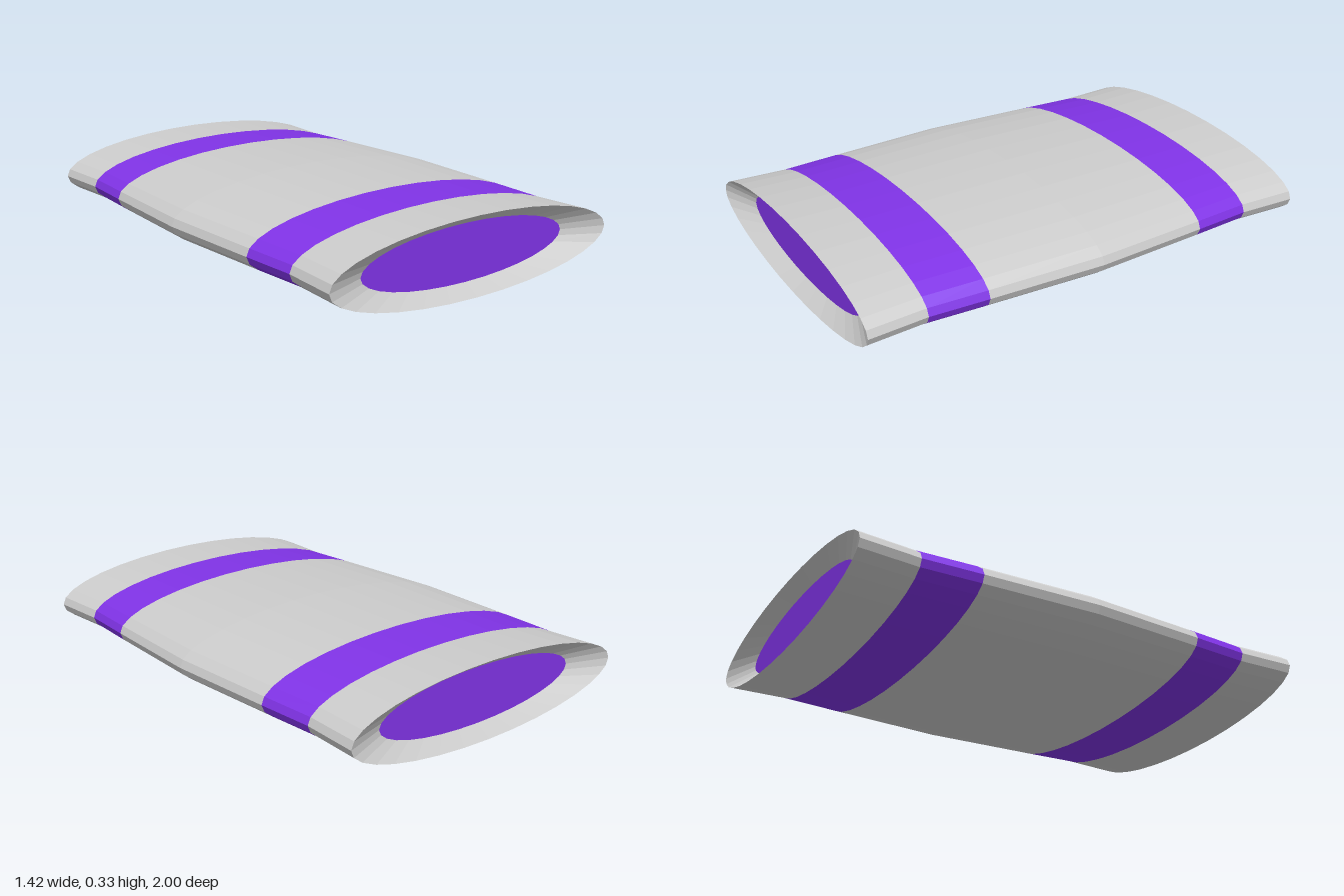
import * as THREE from 'three';

const SIDES = 32;
const FLATTEN = 0.23; // height to width ratio of the oval section
const CENTRE_Y = 0.71 * FLATTEN;

const grey = new THREE.MeshStandardMaterial({ color: 0xcccccc, flatShading: true });
const purple = new THREE.MeshStandardMaterial({ color: 0x8033e6, flatShading: true });

// Oval sleeve along z from [half width, z] stations
function sleeve(name, stations, material) {
  const points = stations.map(([r, z]) => new THREE.Vector2(r, z));
  const geometry = new THREE.LatheGeometry(points, SIDES);
  geometry.rotateX(Math.PI / 2);
  geometry.scale(1, FLATTEN, 1);
  const mesh = new THREE.Mesh(geometry, material);
  mesh.name = name;
  return mesh;
}

// One end: band, flared collar with a sloping inner rim, and recessed oval panel
function createEnd(name) {
  const end = new THREE.Group();
  end.name = name;
  end.add(sleeve('band', [[0.685, 0.5], [0.67, 0.75]], purple));
  end.add(sleeve('collar', [[0.67, 0.75], [0.685, 1]], grey));
  end.add(sleeve('innerRim', [[0.685, 1], [0.5, 0.935]], grey));

  const panel = new THREE.Mesh(new THREE.CircleGeometry(0.5, SIDES).scale(1, FLATTEN, 1), purple);
  panel.name = 'endPanel';
  panel.position.z = 0.935;
  end.add(panel);
  return end;
}

export function createModel() {
  const model = new THREE.Group();
  model.name = 'ovalPod';

  // Slightly swollen middle body
  model.add(sleeve('body', [[0.685, -0.5], [0.71, 0], [0.685, 0.5]], grey));

  const back = createEnd('backEnd');
  back.rotation.y = Math.PI;
  model.add(createEnd('frontEnd'), back);

  model.position.y = CENTRE_Y;
  return model;
}
